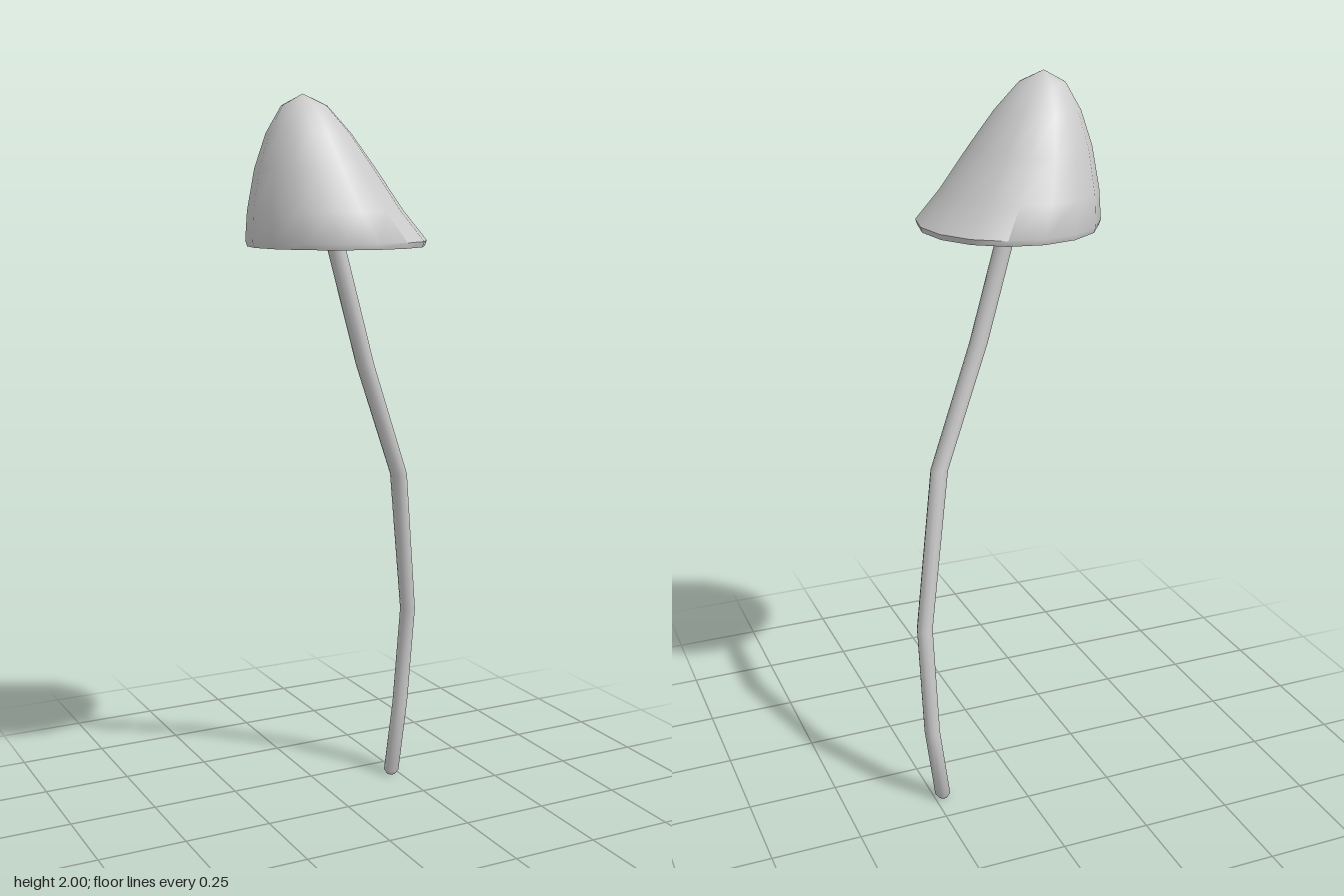
import * as THREE from 'three';
import { toCreasedNormals } from 'three/addons/utils/BufferGeometryUtils.js';

// Skin a stack of level rings, each given as [x, y, z, radius]
function loft(name, rings, sides, crease) {
  const positions = [];
  const index = [];
  for (const [x, y, z, r] of rings) {
    for (let j = 0; j < sides; j++) {
      const a = (j / sides) * Math.PI * 2;
      positions.push(x + r * Math.cos(a), y, z + r * Math.sin(a));
    }
  }
  for (let i = 0; i < rings.length - 1; i++) {
    for (let j = 0; j < sides; j++) {
      const k = (j + 1) % sides;
      const a = i * sides + j, b = i * sides + k;
      const c = a + sides, d = b + sides;
      if (rings[i][3] > 0) index.push(a, c, b);
      if (rings[i + 1][3] > 0) index.push(b, c, d);
      else if (rings[i][3] === 0) continue;
    }
  }
  const geometry = new THREE.BufferGeometry();
  geometry.setAttribute('position', new THREE.Float32BufferAttribute(positions, 3));
  geometry.setIndex(index);
  const mesh = new THREE.Mesh(
    toCreasedNormals(geometry, crease),
    new THREE.MeshStandardMaterial({ color: 0xcccccc, side: THREE.DoubleSide })
  );
  mesh.name = name;
  return mesh;
}

export function createModel() {
  const group = new THREE.Group();
  group.name = 'mushroom';

  // Leaning bell cap: outer skin from rim to tip
  const outer = [
    [-0.036, 1.622, 0, 0.243],
    [-0.068, 1.70, 0, 0.208],
    [-0.098, 1.81, 0, 0.16],
    [-0.117, 1.90, 0, 0.112],
    [-0.129, 1.97, 0, 0.06],
    [-0.133, 2.0, 0, 0],
  ];
  // Hollow underside: the same skin moved inward, from tip to rim
  const inner = outer.slice(1).reverse()
    .map(([x, y, z, r]) => [x, y - 0.015, z, Math.max(0, r - 0.012)]);
  const rim = [[-0.036, 1.612, 0, 0.225], [-0.036, 1.607, 0, 0.238]];
  group.add(loft('cap', [...inner, ...rim, ...outer], 16, 0.9));

  // Crooked stalk with a rounded foot, running up inside the cap
  const stalk = [
    [0.226, 0, -0.158, 0],
    [0.226, 0.002, -0.158, 0.014],
    [0.227, 0.014, -0.158, 0.022],
    [0.255, 0.225, -0.158, 0.022],
    [0.258, 0.53, -0.12, 0.022],
    [0.18, 0.96, -0.04, 0.024],
    [0.04, 1.285, 0.022, 0.025],
    [-0.05, 1.61, 0.024, 0.025],
    [-0.125, 1.92, 0.015, 0.025],
    [-0.126, 1.925, 0.015, 0],
  ];
  group.add(loft('stalk', stalk, 12, 1.2));

  return group;
}
